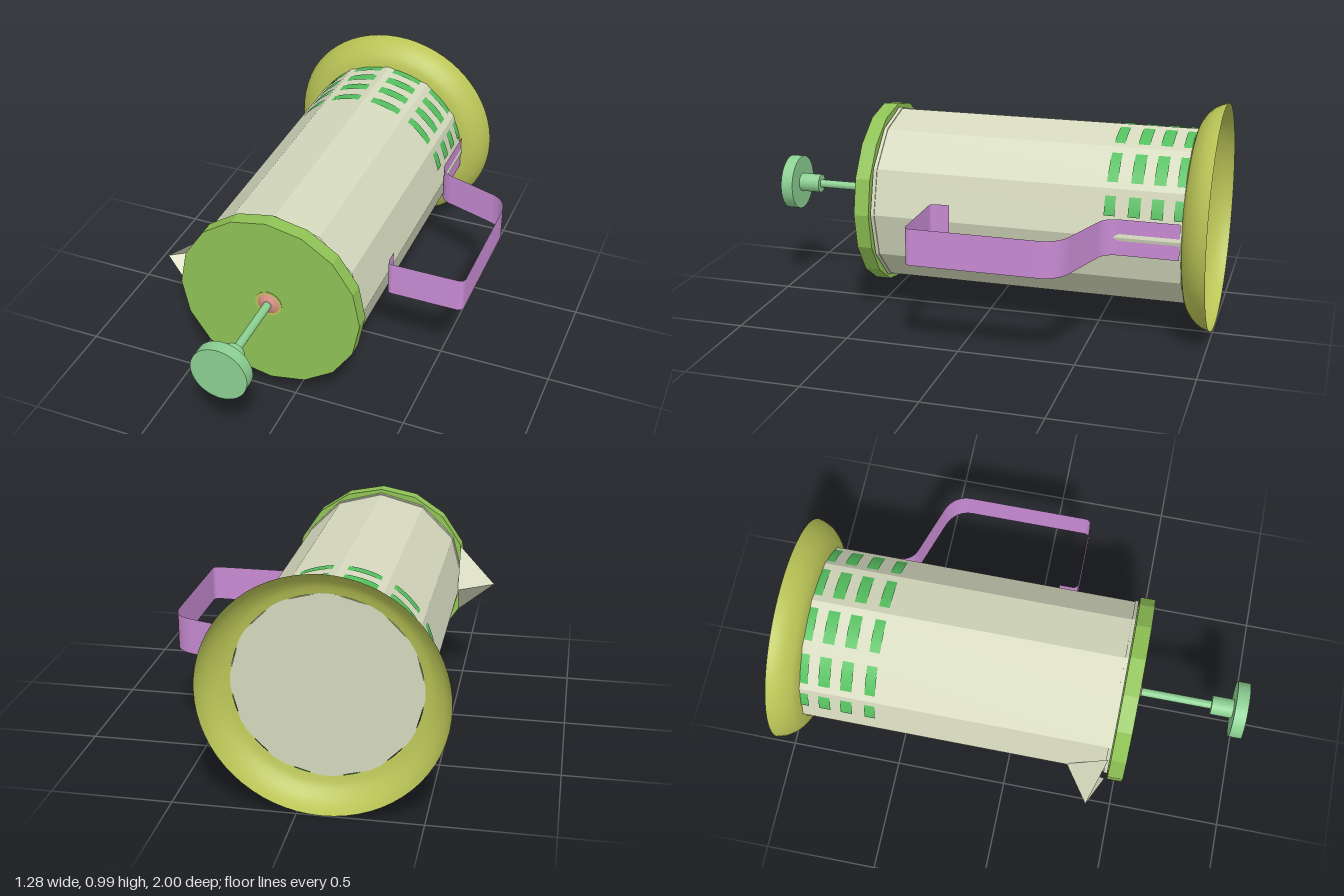
import * as THREE from 'three';

const rad = THREE.MathUtils.degToRad;

function material(color, flat = false) {
  return new THREE.MeshStandardMaterial({ color, flatShading: flat, side: THREE.DoubleSide });
}

export function createModel() {
  const model = new THREE.Group();
  const press = new THREE.Group(); // origin on the long axis of the jug
  press.name = 'coffeePress';
  press.position.set(-0.1, 0.494, 0);
  model.add(press);

  const glass = material(0xd5d9bd, true);
  const lidGreen = material(0x8fc255, true);
  const mint = material(0x8cd092);
  const patchGreen = material(0x55bf5f);
  const olive = material(0xb9c456);
  const purple = material(0xc78bd3);
  const salmon = material(0xd58f85);

  function add(name, geometry, mat) {
    const mesh = new THREE.Mesh(geometry, mat);
    mesh.name = name;
    press.add(mesh);
    return mesh;
  }

  // Cylinder lying along z, running from z0 to z1
  function rod(name, rFront, rBack, z0, z1, sides, mat) {
    const g = new THREE.CylinderGeometry(rFront, rBack, z1 - z0, sides);
    g.rotateX(Math.PI / 2).translate(0, 0, (z0 + z1) / 2);
    return add(name, g, mat);
  }

  // Faceted jug with a thin rim
  rod('jug', 0.386, 0.386, -0.886, 0.45, 12, glass);
  rod('jugRim', 0.391, 0.391, 0.442, 0.458, 12, glass);

  // Open pouring spout on the right side
  const top = [-0.375, 0.155, 0.452], bottom = [-0.375, -0.155, 0.452];
  const root = [-0.383, 0, 0.28], tip = [-0.541, 0, 0.39];
  const spout = new THREE.BufferGeometry();
  spout.setAttribute('position', new THREE.Float32BufferAttribute(
    [tip, top, root, tip, root, bottom].flat(), 3));
  spout.computeVertexNormals();
  add('spout', spout, glass);

  // Lid and plunger
  rod('lid', 0.406, 0.406, 0.462, 0.528, 16, lidGreen);
  rod('lidRing', 0.06, 0.06, 0.52, 0.53, 24, olive);
  rod('lidBushing', 0.026, 0.052, 0.528, 0.542, 24, salmon);
  rod('plungerRod', 0.018, 0.018, 0.5, 0.86, 20, mint);
  rod('knobCollar', 0.042, 0.042, 0.85, 0.95, 24, mint);
  rod('knob', 0.123, 0.123, 0.945, 1, 40, mint);

  // Flared hollow foot
  const profile = [[0.493, -1], [0.482, -0.967], [0.464, -0.938], [0.438, -0.913],
    [0.411, -0.896], [0.376, -0.885]].map(([r, z]) => new THREE.Vector2(r, z));
  const curve = new THREE.SplineCurve(profile).getPoints(20);
  add('foot', new THREE.LatheGeometry(curve, 64).rotateX(Math.PI / 2), olive);

  // Curved bands that show through the middle of each facet
  const rows = [[-0.605, -0.56], [-0.71, -0.66], [-0.805, -0.755], [-0.885, -0.85]];
  const arcs = [[13, 167], [-112, -72]];
  for (const [z0, z1] of rows) {
    for (const [a0, a1] of arcs) {
      const g = new THREE.CylinderGeometry(0.3793, 0.3793, z1 - z0, a1 - a0, 1, true,
        rad(a0 + 90), rad(a1 - a0));
      g.rotateX(Math.PI / 2).translate(0, 0, (z0 + z1) / 2);
      add('band', g, patchGreen);
    }
  }

  // Handle: a thin strap following a path of x and z
  const path = new THREE.Path();
  path.moveTo(0.382, -0.88);
  path.lineTo(0.382, -0.63);
  path.quadraticCurveTo(0.385, -0.57, 0.44, -0.552);
  path.lineTo(0.65, -0.483);
  path.quadraticCurveTo(0.735, -0.455, 0.736, -0.37);
  path.lineTo(0.736, 0.155);
  path.quadraticCurveTo(0.736, 0.182, 0.709, 0.182);
  path.lineTo(0.422, 0.182);
  path.quadraticCurveTo(0.395, 0.182, 0.395, 0.155);
  path.lineTo(0.395, 0.1);
  const pts = path.getPoints(10);
  const half = 0.078;
  const strap = new THREE.PlaneGeometry(1, 1, pts.length - 1, 1);
  const pos = strap.attributes.position;
  pts.forEach((p, i) => {
    // front faces look outward
    pos.setXYZ(i, p.x, -half, p.y);
    pos.setXYZ(i + pts.length, p.x, half, p.y);
  });
  strap.computeVertexNormals();
  add('handle', strap, purple);

  return model;
}
